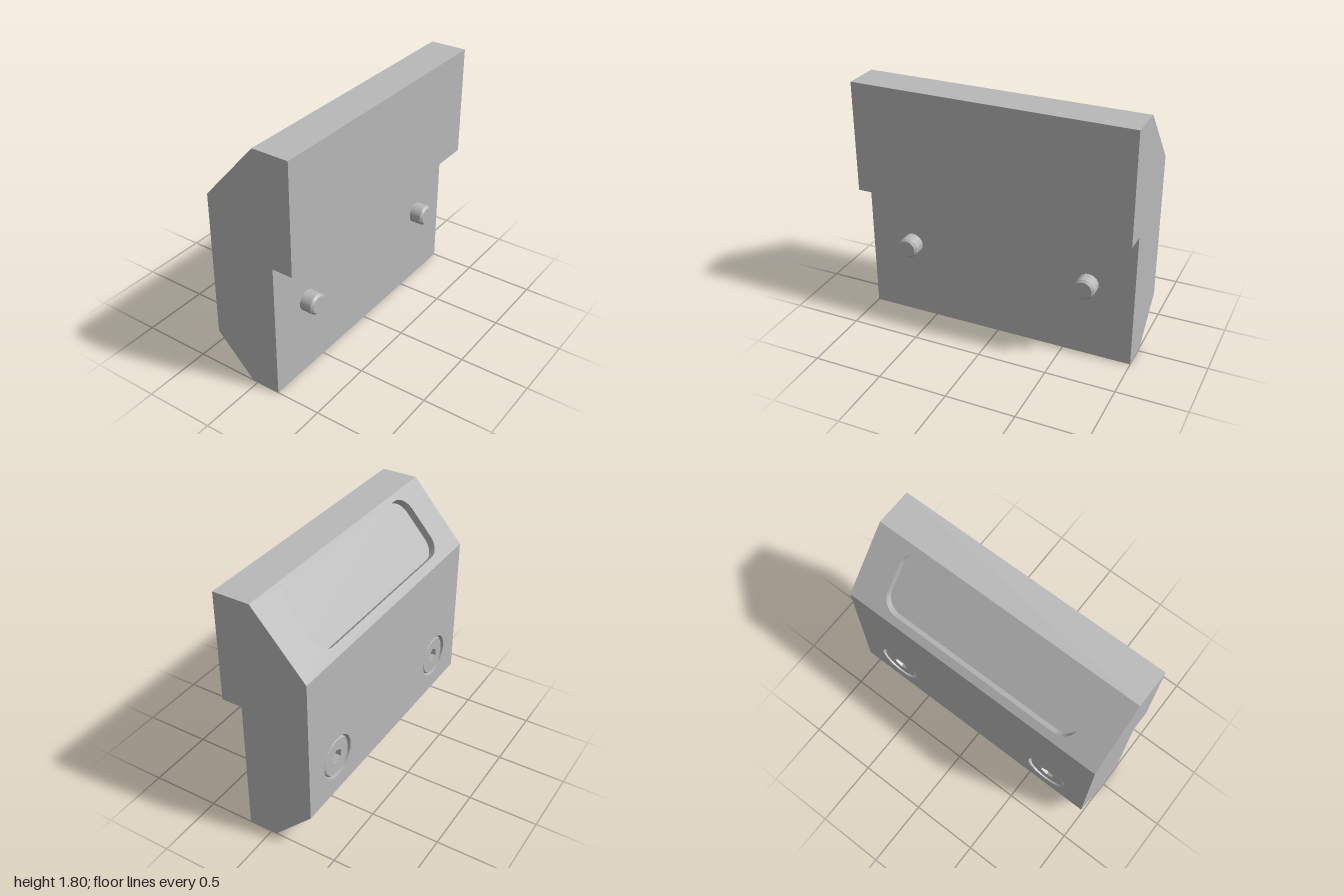
import * as THREE from 'three';
import { mergeGeometries, toCreasedNormals } from 'three/addons/utils/BufferGeometryUtils.js';

const SEGMENTS = 12;

// Keep only positions and normals so pieces can be merged
function plain(geometry) {
  const g = geometry.index ? geometry.toNonIndexed() : geometry;
  g.deleteAttribute('uv');
  return g;
}

// Inward-facing walls of a counter-clockwise outline sunk to the given depth
function pocketWalls(path, depth) {
  const points = path.getPoints(SEGMENTS);
  const positions = [];
  points.forEach((p, i) => {
    const q = points[(i + 1) % points.length];
    if (p.distanceTo(q) < 1e-5) return;
    positions.push(p.x, p.y, 0, q.x, q.y, 0, q.x, q.y, -depth);
    positions.push(p.x, p.y, 0, q.x, q.y, -depth, p.x, p.y, -depth);
  });
  const g = new THREE.BufferGeometry();
  g.setAttribute('position', new THREE.Float32BufferAttribute(positions, 3));
  g.computeVertexNormals();
  return toCreasedNormals(g, 0.6);
}

// Flat panel with sunken pockets, placed by a matrix (local z points outward)
function panel(shape, pockets, matrix) {
  const pieces = [];
  for (const { path, depth } of pockets) {
    shape.holes.push(path);
    pieces.push(pocketWalls(path, depth));
    pieces.push(plain(new THREE.ShapeGeometry(path, SEGMENTS).translate(0, 0, -depth)));
  }
  pieces.push(plain(new THREE.ShapeGeometry(shape, SEGMENTS)));
  return mergeGeometries(pieces).applyMatrix4(matrix);
}

function circle(x, y, r) {
  return new THREE.Shape().absarc(x, y, r, 0, Math.PI * 2, false);
}

function roundedRect(x0, y0, x1, y1, r) {
  const s = new THREE.Shape();
  s.absarc(x1 - r, y0 + r, r, -Math.PI / 2, 0, false);
  s.absarc(x1 - r, y1 - r, r, 0, Math.PI / 2, false);
  s.absarc(x0 + r, y1 - r, r, Math.PI / 2, Math.PI, false);
  s.absarc(x0 + r, y0 + r, r, Math.PI, Math.PI * 1.5, false);
  s.closePath();
  return s;
}

// Local x runs along u, local y along world z, local z outward
function frame(ux, uy, x, y, z = 0) {
  return new THREE.Matrix4().makeBasis(
    new THREE.Vector3(ux, uy, 0),
    new THREE.Vector3(0, 0, 1),
    new THREE.Vector3(uy, -ux, 0)
  ).setPosition(x, y, z);
}

export function createModel() {
  const model = new THREE.Group();
  model.name = 'clampJaw';
  const steel = new THREE.MeshStandardMaterial({ color: 0xb8b8b8 });
  steel.name = 'steel grey';

  const screwY = 0.57, screwZ = 0.67, backX = -0.325, topY = 1.365;

  // Side profile, counter-clockwise
  const profile = [
    [-0.04, 0], [0.175, 0], [0.175, 1], [0.325, 1],
    [0.325, 1.8], [0.06, 1.8], [backX, topY], [backX, 0.29]
  ].map(([x, y]) => new THREE.Vector2(x, y));

  // Pockets by profile edge: finger recess on the slope, counterbores on the back
  const pockets = {
    5: [{ path: roundedRect(0.045, -0.76, 0.513, 0.76, 0.12), depth: 0.055 }],
    6: [-1, 1].map((s) => ({ path: circle(topY - screwY, s * screwZ, 0.16), depth: 0.15 }))
  };

  // Body: one panel per profile edge, plus two end caps
  const parts = profile.map((a, i) => {
    const b = profile[(i + 1) % profile.length];
    const length = a.distanceTo(b);
    const face = new THREE.Shape([[0, -1], [length, -1], [length, 1], [0, 1]]
      .map(([x, y]) => new THREE.Vector2(x, y)));
    return panel(face, pockets[i] || [], frame((b.x - a.x) / length, (b.y - a.y) / length, a.x, a.y));
  });
  const mirrored = profile.map((p) => new THREE.Vector2(-p.x, p.y));
  parts.push(plain(new THREE.ShapeGeometry(new THREE.Shape(profile)).translate(0, 0, 1)));
  parts.push(plain(new THREE.ShapeGeometry(new THREE.Shape(mirrored)).translate(0, 0, 1).rotateY(Math.PI)));
  const body = new THREE.Mesh(mergeGeometries(parts), steel);
  body.name = 'body';
  model.add(body);

  // Screw: turned head and shank with a chamfered tip, axis along x
  const turned = new THREE.LatheGeometry([
    [0.135, -0.318], [0.145, -0.308], [0.145, -0.175], [0.075, -0.175],
    [0.075, 0.26], [0.06, 0.275], [0, 0.275]
  ].map(([r, y]) => new THREE.Vector2(r, y)), 48).rotateZ(-Math.PI / 2);

  // Head face with hexagonal socket
  const hexagon = new THREE.Shape(Array.from({ length: 6 }, (_, i) =>
    new THREE.Vector2(Math.cos(i * Math.PI / 3), Math.sin(i * Math.PI / 3)).multiplyScalar(0.057)));
  hexagon.closePath();
  const headFace = panel(circle(0, 0, 0.135), [{ path: hexagon, depth: 0.08 }], frame(0, -1, -0.318, 0));
  const screwGeometry = mergeGeometries([plain(toCreasedNormals(turned, 0.5)), headFace]);

  for (const side of [-1, 1]) {
    const screw = new THREE.Mesh(screwGeometry, steel);
    screw.name = side > 0 ? 'frontScrew' : 'rearScrew';
    screw.position.set(0, screwY, side * screwZ);
    model.add(screw);
  }
  return model;
}
